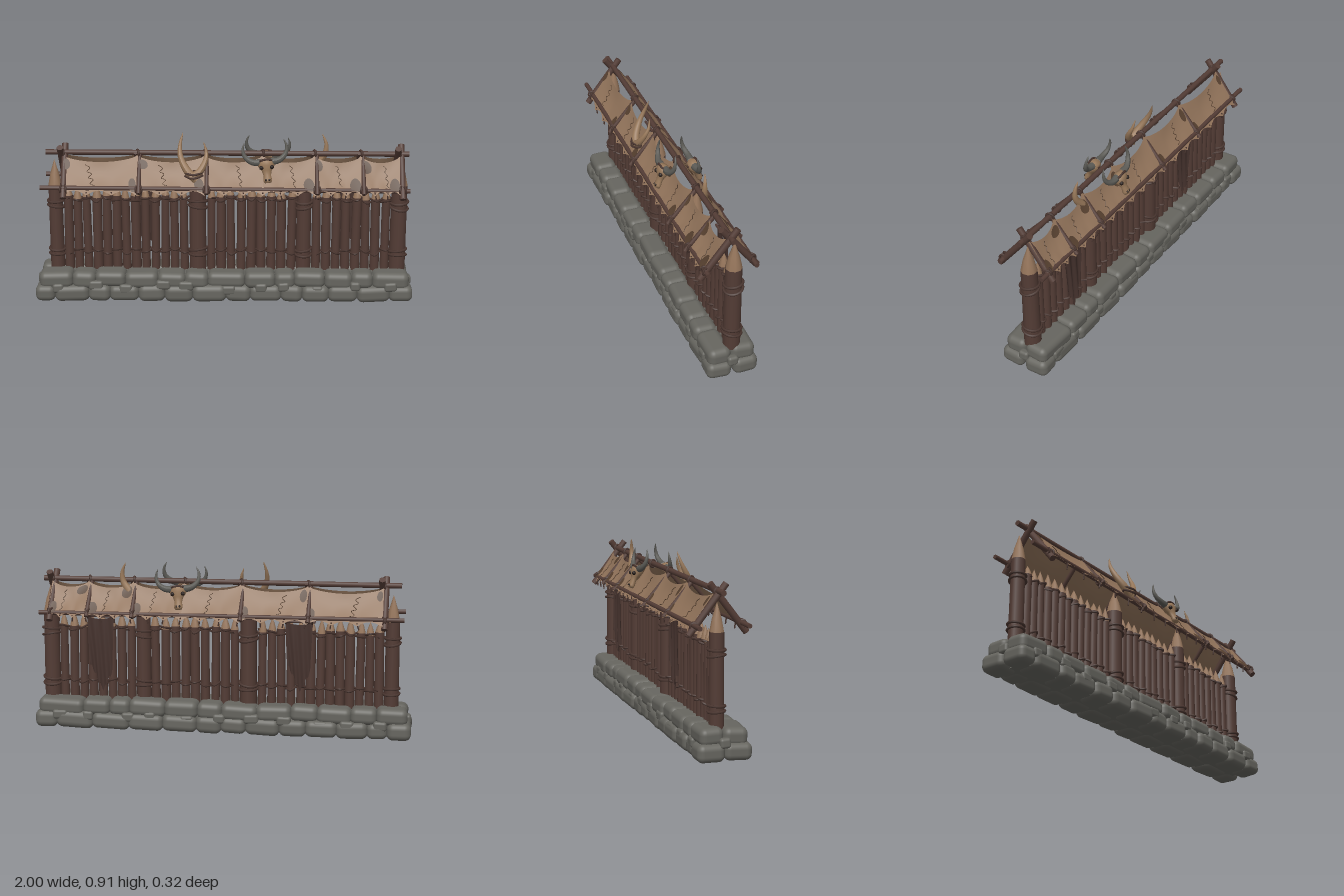
import * as THREE from 'three';
import { RoundedBoxGeometry } from 'three/addons/geometries/RoundedBoxGeometry.js';

const mat = (name, color, side = THREE.FrontSide) => {
  const m = new THREE.MeshStandardMaterial({ color, side });
  m.name = name;
  return m;
};
const V = (x, y, z) => new THREE.Vector3(x, y, z);

export function createModel() {
  const M = {
    wood: mat('bark wood', 0x533c35),
    cut: mat('cut wood', 0x94745a),
    hide: mat('hide', 0x91735a, THREE.DoubleSide),
    patch: mat('dark hide', 0x56402f, THREE.DoubleSide),
    bone: mat('bone', 0x967759),
    horn: mat('grey horn', 0x5b5a55),
    stone: mat('stone', 0x66655f),
    rope: mat('rope', 0x49352f),
    cloth: mat('cloth', 0x46332e, THREE.DoubleSide),
    socket: mat('socket', 0x2a201c),
  };
  const model = new THREE.Group();
  model.name = 'palisadeWall';
  let seed = 17;
  const rnd = (a = 0, b = 1) => {
    seed = (seed * 16807) % 2147483647;
    return a + (b - a) * (seed / 2147483647);
  };
  const add = (name, geo, material, parent = model) => {
    const mesh = new THREE.Mesh(geo, material);
    mesh.name = name;
    parent.add(mesh);
    return mesh;
  };
  // Straight round bar between two points
  const bar = (name, a, b, r, material = M.wood, r2 = r) => {
    const m = add(name, new THREE.CylinderGeometry(r2, r, a.distanceTo(b), 10), material);
    m.position.copy(a).lerp(b, 0.5);
    m.quaternion.setFromUnitVectors(V(0, 1, 0), b.clone().sub(a).normalize());
    return m;
  };
  const tube = (name, pts, r, material, parent, closed = false) =>
    add(name, new THREE.TubeGeometry(new THREE.CatmullRomCurve3(pts, closed), pts.length * 4, r, 6, closed), material, parent);
  // Tube narrowing to a point
  const horn = (pts, r, material, parent) => {
    const curve = new THREE.CatmullRomCurve3(pts), n = 16, k = 10;
    const geo = new THREE.TubeGeometry(curve, n, r, k), p = geo.attributes.position;
    for (let i = 0; i < p.count; i++) {
      const t = Math.floor(i / (k + 1)) / n, c = curve.getPointAt(t), s = Math.pow(1 - t, 0.7);
      const v = V(0, 0, 0).fromBufferAttribute(p, i).sub(c).multiplyScalar(s).add(c);
      p.setXYZ(i, v.x, v.y, v.z);
    }
    geo.computeVertexNormals();
    return add('horn', geo, material, parent);
  };

  // Stone footing: two courses on both faces around a core
  add('footingCore', new THREE.BoxGeometry(1.86, 0.13, 0.18), M.stone).position.set(0, 0.085, -0.008);
  const stone = (x, y, z, w, h, d) => {
    const m = add('footingStone', new RoundedBoxGeometry(w, h, d, 4, Math.min(w, h, d) * 0.36), M.stone);
    m.position.set(x, y, z);
    m.rotation.set(rnd(-0.06, 0.06), rnd(-0.05, 0.05), rnd(-0.05, 0.05));
  };
  for (const side of [1, -1]) {
    for (const row of [0, 1]) {
      const end = row ? 0.975 : 0.995;
      let x = -end;
      while (x < end - 0.01) {
        let w = rnd(0.1, 0.2);
        if (end - x - w < 0.09) w = end - x;
        const h = rnd(0.083, 0.096), d = rnd(0.125, 0.14) - row * 0.01;
        stone(x + w / 2, row ? 0.125 + rnd(-0.004, 0.004) : 0.054, -0.008 + side * (0.068 - row * 0.006), w + 0.004, h, d);
        x += w;
      }
    }
    for (let i = 0; i < 11; i++)
      stone(-0.86 + i * 0.172 + rnd(-0.03, 0.03), rnd(0.07, 0.11), -0.008 + side * 0.112, rnd(0.05, 0.08), 0.05, 0.04);
    stone(side * 0.975, 0.1, -0.008, 0.04, 0.05, 0.055);
  }

  // Sharpened logs, thick posts and thinner stakes
  const log = (name, x, r, top, tip, lean) => {
    const g = new THREE.Group();
    g.name = name;
    g.position.set(x, 0.15, -0.022);
    g.rotation.z = lean;
    model.add(g);
    const h = top - 0.15;
    add('trunk', new THREE.CylinderGeometry(r * 0.94, r, h, 12, 1), M.wood, g).position.y = h / 2;
    const point = new THREE.LatheGeometry([[r * 0.94, 0], [r * 0.62, (tip - top) * 0.45], [0.0005, tip - top]]
      .map(([a, b]) => new THREE.Vector2(a, b)), 9);
    add('point', point, M.cut, g).position.y = h;
  };
  const posts = [[-0.89, 0.038, 0.615, 0.755], [-0.14, 0.045, 0.62, 0.75], [0.42, 0.04, 0.62, 0.75], [0.92, 0.044, 0.62, 0.765]];
  for (const [x, r, top, tip] of posts) {
    log('post', x, r, top, tip, 0);
    // Rope wound around each post
    for (const y of [0.235, 0.262, 0.5, 0.53]) {
      const ring = add('postRope', new THREE.TorusGeometry(r + 0.003, 0.007, 6, 20), M.rope);
      ring.position.set(x, y, -0.022);
      ring.rotation.set(Math.PI / 2 + rnd(-0.2, 0.2), rnd(-0.2, 0.2), 0);
    }
  }
  for (const [from, to, n] of [[-0.826, -0.212, 13], [-0.07, 0.355, 9], [0.487, 0.853, 8]]) {
    const weave = [[], []], step = (to - from) / (n - 1);
    for (let i = 0; i < n; i++) {
      const x = from + i * step;
      log('stake', x, rnd(0.0225, 0.0265), rnd(0.54, 0.565), rnd(0.605, 0.63), rnd(-0.012, 0.012));
      weave.forEach((w, k) => {
        for (const s of [0, 0.5]) {
          const a = (i + s) * Math.PI + k * Math.PI;
          w.push(V(x + s * step, (k ? 0.535 : 0.245) + rnd(-0.008, 0.008), -0.022 + 0.031 * Math.cos(a)));
        }
      });
    }
    // Cord woven in front of and behind the stakes
    for (const w of weave) {
      tube('weave', w, 0.006, M.rope);
      tube('weave', w.map(p => V(p.x, p.y + 0.013, -0.044 - p.z)), 0.006, M.rope);
    }
  }

  // Roof frame: ridge, eaves and crossed rafters
  const rafters = [-0.84, -0.45, -0.1, 0.2, 0.47, 0.71, 0.91];
  const ridgeZ = -0.002;
  bar('ridgePole', V(-0.93, 0.8, ridgeZ), V(0.96, 0.795, ridgeZ), 0.014);
  for (const s of [1, -1]) {
    bar('eavePole', V(-0.95, 0.643, s * 0.122 + ridgeZ), V(0.96, 0.632, s * 0.122 + ridgeZ), 0.012);
    for (const x of rafters) {
      if (x === 0.2) continue;
      const end = Math.abs(x) > 0.8, e = end ? 0.045 : 0.012;
      bar('rafter', V(x + s * 0.01, end ? 0.595 : 0.62, s * 0.148), V(x + s * 0.01, 0.79 + e, -s * e * 0.85), end ? 0.017 : 0.0115);
      // Lashing where rafter meets eave
      for (const o of [-0.009, 0.009]) {
        const ring = add('eaveLashing', new THREE.TorusGeometry(0.018, 0.0055, 6, 14), M.rope);
        ring.position.set(x + s * 0.01 + o, 0.637, s * 0.123);
        ring.rotation.set(0, Math.PI / 2 + o * 40, 0);
      }
    }
  }
  for (const x of rafters) {
    const ring = add('ridgeLashing', new THREE.TorusGeometry(0.018, 0.007, 6, 14), M.rope);
    ring.position.set(x, 0.795, ridgeZ);
    ring.rotation.y = Math.PI / 2 + 0.3;
  }

  // Hide panels sagging between rafters, u along and v down the slope
  const hidePoint = (x0, x1, s, u, v, lift = 0) => {
    const sag = Math.sin(Math.PI * u), ripple = Math.abs(Math.sin(u * Math.PI * 3));
    const top = 0.79 - 0.032 * Math.pow(sag, 0.6), bottom = 0.612 + 0.02 * ripple;
    const y = top + (bottom - top) * v;
    const z = 0.008 + (0.8 - y) * 0.75 - 0.014 * sag * Math.sin(Math.PI * v);
    return V(x0 + (x1 - x0) * u, y + lift * 0.6, s * (z + lift * 0.8) + ridgeZ);
  };
  const hideSheet = (name, x0, x1, s, material, u0 = 0, u1 = 1, v0 = 0, v1 = 1, lift = 0) => {
    const geo = new THREE.PlaneGeometry(1, 1, 18, 8), p = geo.attributes.position;
    for (let i = 0; i < p.count; i++) {
      let a = p.getX(i) * 2, b = p.getY(i) * 2;
      if (lift) { // rounded outline for patches
        const q = a;
        a *= Math.sqrt(1 - b * b / 2);
        b *= Math.sqrt(1 - q * q / 2);
      }
      const u = u0 + (u1 - u0) * (a * s + 1) / 2, v = v0 + (v1 - v0) * (1 - b) / 2;
      const w = hidePoint(x0, x1, s, u, v, lift);
      p.setXYZ(i, w.x, w.y, w.z);
    }
    geo.computeVertexNormals();
    add(name, geo, material);
  };
  for (const s of [1, -1]) {
    for (let i = 0; i < rafters.length - 1; i++) {
      const a = rafters[i], b = rafters[i + 1];
      hideSheet('hidePanel', a, b, s, M.hide);
      // Worn dark patches beside the rafters
      if (i !== 2) {
        const w = 0.028 / (b - a);
        hideSheet('wornPatch', a, b, s, M.patch, 0.01, w * rnd(1.2, 2.2), 0.05, rnd(0.3, 0.5), 0.004);
        hideSheet('wornPatch', a, b, s, M.patch, 1 - w * rnd(1.5, 2.2), 0.99, 0.6, 0.98, 0.004);
      }
      // Crooked seam and edge ties
      const u0 = rnd(0.3, 0.6), seam = [];
      for (let k = 0; k <= 7; k++) seam.push(hidePoint(a, b, s, u0 + (k % 2 ? 0.035 : -0.02) + k * 0.012, 0.12 + k * 0.1, 0.002));
      tube('seam', seam, 0.0017, M.patch);
      for (const u of [0, 0.333, 0.667]) {
        const p = hidePoint(a, b, s, u, 0.92, 0.003);
        bar('tie', p, V(p.x + rnd(-0.01, 0.01), 0.59, p.z - s * 0.004), 0.0035, M.rope);
      }
    }
  }

  // Horned skulls on both slopes
  const skull = (x, y, z, back, tilt) => {
    const g = new THREE.Group();
    g.name = 'hornedSkull';
    g.position.set(x, y, z);
    g.rotation.set(0, back ? Math.PI : 0, 0);
    model.add(g);
    const t = new THREE.Group();
    t.name = 'skullTilt';
    t.rotation.set(-0.4, 0, tilt);
    g.add(t);
    const profile = [[0, -0.07], [0.018, -0.068], [0.023, -0.055], [0.019, -0.03], [0.026, -0.005], [0.043, 0.02], [0.041, 0.04], [0.026, 0.055], [0, 0.058]];
    add('skull', new THREE.LatheGeometry(profile.map(q => new THREE.Vector2(...q)), 16), M.bone, t).scale.z = 0.75;
    for (const s of [1, -1]) {
      const eye = add('eyeSocket', new THREE.SphereGeometry(0.011, 10, 8), M.socket, t);
      eye.position.set(s * 0.027, 0.01, 0.02);
      const nose = add('nostril', new THREE.SphereGeometry(0.006, 8, 6), M.socket, t);
      nose.position.set(s * 0.008, -0.055, 0.014);
      horn([V(s * 0.025, 0.04, 0), V(s * 0.07, 0.045, 0.004), V(s * 0.105, 0.075, 0.004), V(s * 0.113, 0.115, 0.012), V(s * 0.1, 0.15, 0.022)], 0.02, M.horn, t);
    }
    tube('skullRope', [V(-0.03, 0.045, 0.02), V(0, 0.05, 0.027), V(0.03, 0.045, 0.02), V(0, 0.04, -0.03)], 0.006, M.rope, t, true);
  };
  skull(0.22, 0.735, 0.088, false, 0.1);
  skull(0.22, 0.73, -0.095, true, 0.08);

  // Loose horns lashed to the roof
  horn([V(-0.14, 0.68, 0.09), V(-0.185, 0.72, 0.085), V(-0.225, 0.79, 0.05), V(-0.228, 0.85, 0.02), V(-0.212, 0.912, 0.0)], 0.025, M.bone);
  horn([V(-0.17, 0.69, 0.095), V(-0.125, 0.725, 0.09), V(-0.095, 0.78, 0.065), V(-0.093, 0.82, 0.045), V(-0.107, 0.87, 0.035)], 0.023, M.bone);
  horn([V(0.49, 0.74, -0.035), V(0.525, 0.79, -0.025), V(0.53, 0.84, -0.025), V(0.51, 0.895, -0.032)], 0.022, M.bone);
  for (const o of [0, 0.018])
    tube('hornLashing', [V(-0.2, 0.7 + o, 0.09), V(-0.155, 0.695 + o, 0.118), V(-0.11, 0.705 + o, 0.09), V(-0.155, 0.7 + o, 0.065)], 0.006, M.rope, model, true);

  // Ragged cloth banners on the back
  for (const [x, low] of [[0.64, 0.21], [-0.41, 0.24]]) {
    const geo = new THREE.PlaneGeometry(1, 1, 20, 14), p = geo.attributes.position;
    for (let i = 0; i < p.count; i++) {
      const u = p.getX(i) * 2, v = 0.5 - p.getY(i);
      const bottom = low + 0.13 * Math.abs(u + 0.15) + 0.012 * Math.sin(u * 17);
      const top = 0.615 - 0.02 * (1 - u * u);
      p.setXYZ(i, x + u * (0.072 - 0.012 * v), top + (bottom - top) * v, -0.078 + 0.006 * Math.sin(u * 9 + v * 3) * (0.4 + v));
    }
    geo.computeVertexNormals();
    add('banner', geo, M.cloth);
    bar('bannerRod', V(x - 0.085, 0.612, -0.078), V(x + 0.085, 0.612, -0.078), 0.007);
    for (const s of [1, -1]) bar('bannerCord', V(x + s * 0.068, 0.6, -0.08), V(x + s * 0.068, 0.64, -0.12), 0.004, M.rope);
  }
  return model;
}
